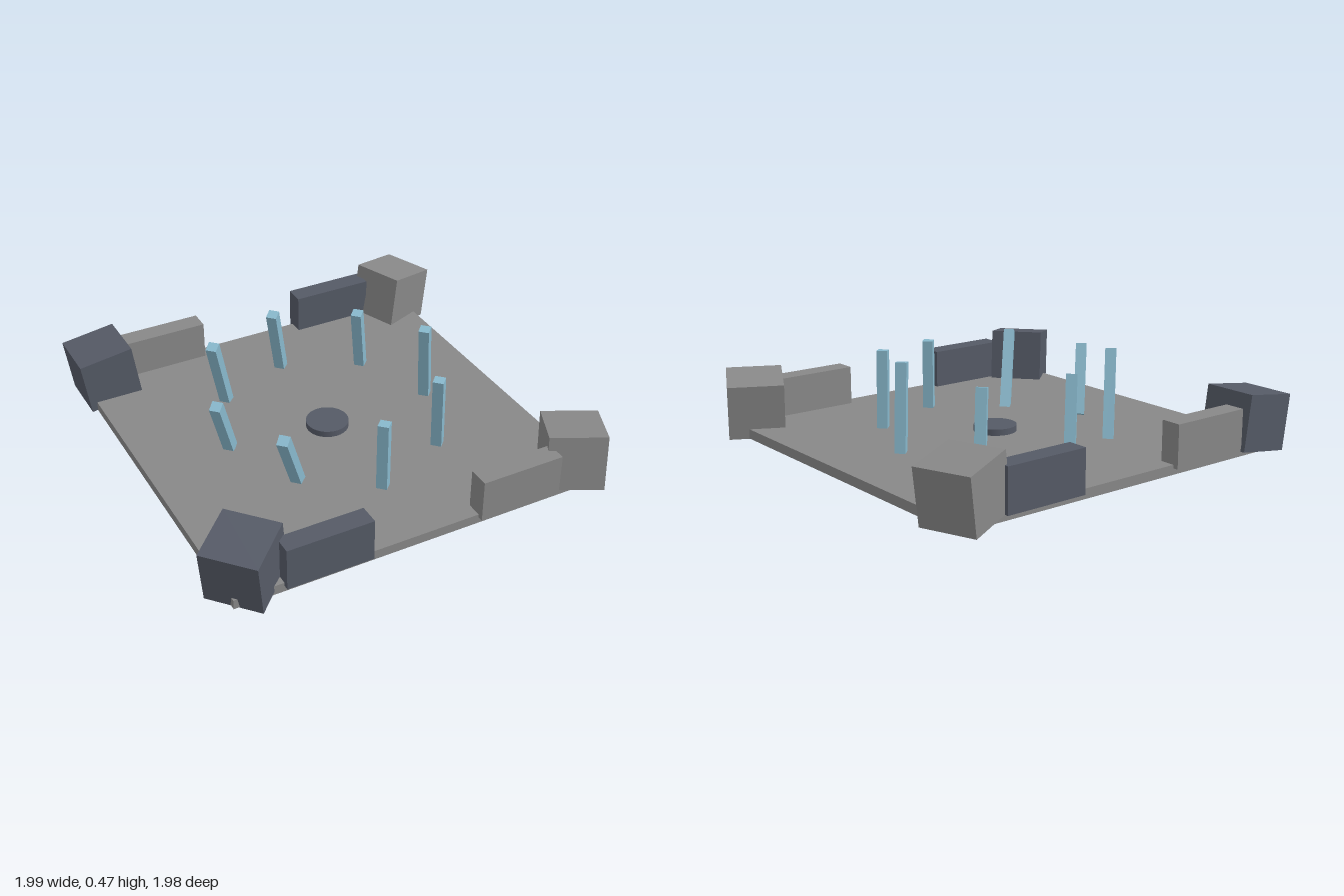
import * as THREE from 'three';

const material = (color) => new THREE.MeshStandardMaterial({ color });

export function createModel() {
  const model = new THREE.Group();
  model.name = 'arena';
  const grey = material(0x888888);
  const slate = material(0x555a66);
  const blue = material(0x88b8cc);
  const CZ = -0.013; // centre of the floor in z

  function add(name, geometry, mat, x, y, z, yaw = 0, tilt = 0) {
    const mesh = new THREE.Mesh(geometry, mat);
    mesh.name = name;
    mesh.position.set(x, y, z);
    mesh.rotation.set(0, yaw, tilt, 'YXZ');
    model.add(mesh);
  }

  // Floor slab and central disc
  add('floor', new THREE.BoxGeometry(1.78, 0.045, 1.78), grey, 0.003, 0.053, CZ);
  add('centreDisc', new THREE.CylinderGeometry(0.1, 0.1, 0.03, 32), slate, 0.003, 0.09, CZ);

  // Low walls on the front and back edges, alternating in colour
  const wall = new THREE.BoxGeometry(0.4, 0.2, 0.097);
  for (const side of [-1, 1]) {
    for (const end of [-1, 1]) {
      add('wall', wall, side === end ? grey : slate, 0.003 + side * 0.464, 0.16, CZ + end * 0.867);
    }
  }

  // Tilted corner blocks: x, z, yaw in degrees, tilt in radians
  const block = new THREE.BoxGeometry(0.26, 0.26, 0.26);
  const blocks = [
    [-0.803, -0.82, 0, 0.14, slate],
    [-0.797, 0.783, 42, 0.15, slate],
    [0.808, 0.79, 63, -0.14, grey],
    [0.808, -0.825, 21, -0.16, grey],
  ];
  for (const [x, z, yaw, tilt, mat] of blocks) {
    add('cornerBlock', block, mat, x, 0.175, z, THREE.MathUtils.degToRad(yaw), tilt);
  }

  // Ring of eight posts, leaning further step by step around the circle
  const lengths = [0.347, 0.405, 0.47];
  for (let i = 0; i < 8; i++) {
    const a = (i * Math.PI) / 4;
    const post = new THREE.BoxGeometry(0.05, lengths[i % 3], 0.05);
    add('post', post, blue, 0.003 + 0.525 * Math.sin(a), 0.236, CZ + 0.525 * Math.cos(a), Math.PI / 4, i * 0.071);
  }

  return model;
}
